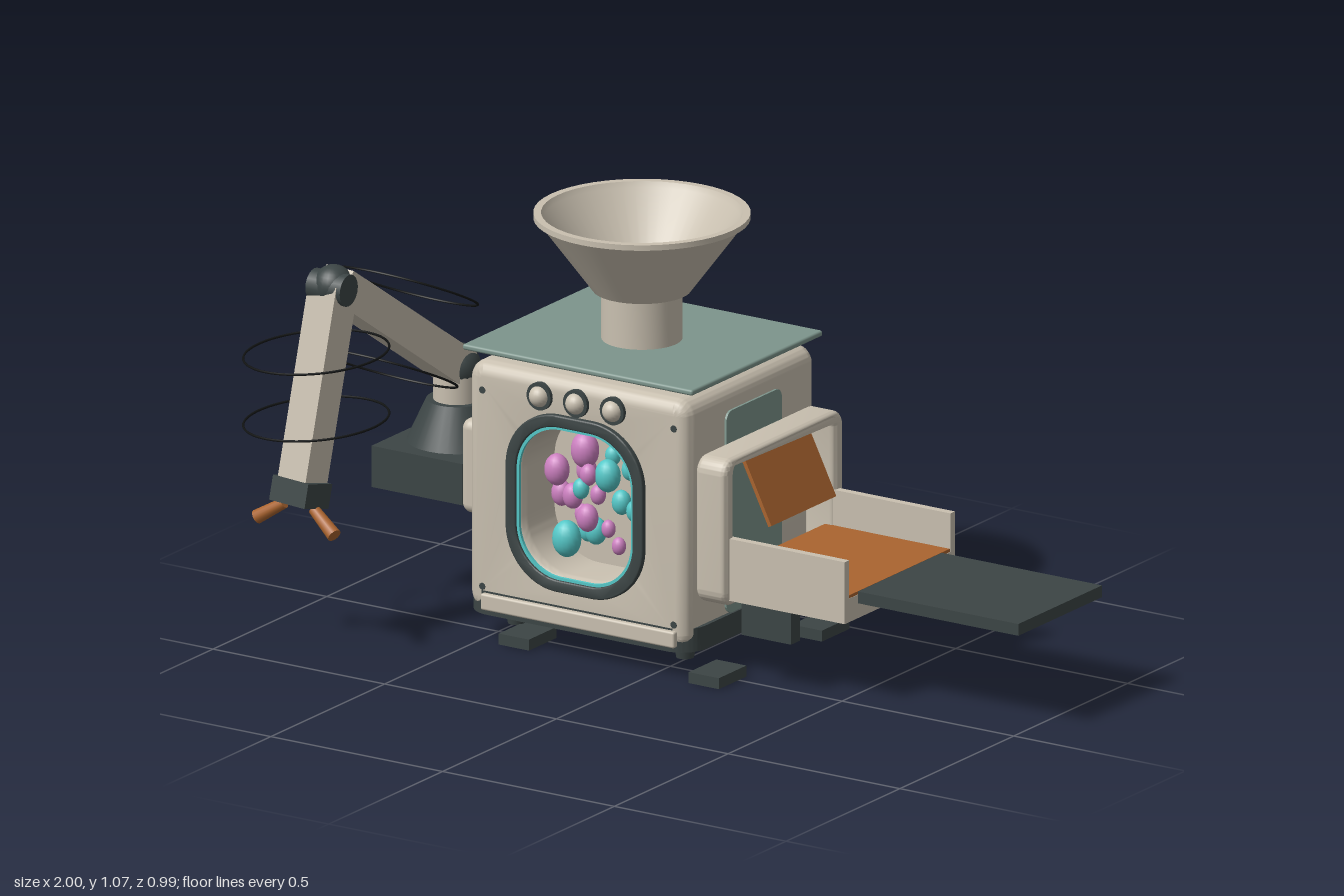
import * as THREE from 'three';
import { toCreasedNormals } from 'three/addons/utils/BufferGeometryUtils.js';
import { RoundedBoxGeometry } from 'three/addons/geometries/RoundedBoxGeometry.js';

const mat = (name, color, side = THREE.FrontSide) => {
  const m = new THREE.MeshStandardMaterial({ color, side });
  m.name = name;
  return m;
};
const V = (x, y, z) => new THREE.Vector3(x, y, z);

// Rounded rectangle outline centred on the origin
function outline(target, w, h, r) {
  const x = w / 2, y = h / 2;
  target.moveTo(-x + r, -y);
  target.lineTo(x - r, -y);
  target.absarc(x - r, -y + r, r, -Math.PI / 2, 0);
  target.lineTo(x, y - r);
  target.absarc(x - r, y - r, r, 0, Math.PI / 2);
  target.lineTo(-x + r, y);
  target.absarc(-x + r, y - r, r, Math.PI / 2, Math.PI);
  target.lineTo(-x, -y + r);
  target.absarc(-x + r, -y + r, r, Math.PI, Math.PI * 1.5);
  return target;
}

// Rounded slab in the xy plane, centred, with optional bevel and hole [w, h, r]
function slab(w, h, depth, r, bevel = 0, hole = null) {
  const shape = outline(new THREE.Shape(), w, h, r);
  if (hole) shape.holes.push(outline(new THREE.Path(), ...hole));
  const g = new THREE.ExtrudeGeometry(shape, {
    depth: depth - 2 * bevel, bevelEnabled: bevel > 0, bevelThickness: bevel,
    bevelSize: bevel, bevelOffset: -bevel, bevelSegments: 6, curveSegments: 10,
  });
  g.translate(0, 0, -(depth - 2 * bevel) / 2);
  return toCreasedNormals(g, 0.6);
}

export function createModel() {
  const root = new THREE.Group();
  root.name = 'sortingMachine';
  const beige = mat('beige', 0xc9c0b0, THREE.DoubleSide);
  const dark = mat('charcoal', 0x3c4545);
  const green = mat('sageGreen', 0x7d958c);
  const orange = mat('copper', 0xaa642f);
  const pink = mat('pink', 0xcc80c0);
  const cyan = mat('cyan', 0x55c8c8);
  const black = mat('black', 0x121414);

  const add = (name, geo, material, x = 0, y = 0, z = 0) => {
    const m = new THREE.Mesh(geo, material);
    m.name = name;
    m.position.set(x, y, z);
    root.add(m);
    return m;
  };
  // Box given by its min and max corners
  const box = (name, material, x0, x1, y0, y1, z0, z1) =>
    add(name, new THREE.BoxGeometry(x1 - x0, y1 - y0, z1 - z0), material,
      (x0 + x1) / 2, (y0 + y1) / 2, (z0 + z1) / 2);
  // Square beam between two points
  const beam = (name, material, a, b, w, h) => {
    const m = add(name, new THREE.BoxGeometry(w, h, a.distanceTo(b)), material);
    m.position.copy(a).lerp(b, 0.5);
    m.lookAt(b);
    return m;
  };
  // Round rod between two points
  const rod = (name, material, a, b, ra, rb) => {
    const m = add(name, new THREE.CylinderGeometry(rb, ra, a.distanceTo(b), 16), material);
    m.position.copy(a).lerp(b, 0.5);
    m.quaternion.setFromUnitVectors(V(0, 1, 0), b.clone().sub(a).normalize());
    return m;
  };

  const CX = -0.215, CZ = -0.2;

  // Housing with a window cavity in the front
  add('housing', slab(0.642, 0.635, 0.572, 0.045, 0.035, [0.33, 0.38, 0.13]), beige, CX, 0.393, CZ);
  add('housingBack', slab(0.41, 0.46, 0.01, 0.16), beige, CX, 0.393, -0.4815);
  add('cavityWall', slab(0.36, 0.41, 0.01, 0.14), beige, CX, 0.393, -0.07);
  add('windowRing', slab(0.4, 0.45, 0.018, 0.15, 0.004, [0.34, 0.39, 0.125]), dark, CX, 0.393, 0.091);
  add('windowTrim', slab(0.345, 0.395, 0.008, 0.127, 0, [0.326, 0.376, 0.12]), cyan, CX, 0.393, 0.09);

  // Base skirt, front bar and fasteners
  add('baseSkirt', slab(0.663, 0.582, 0.06, 0.07, 0, [0.6, 0.52, 0.05]), dark, CX, 0.1, -0.203)
    .rotation.x = -Math.PI / 2;
  add('frontBar', new RoundedBoxGeometry(0.565, 0.042, 0.018, 3, 0.006), beige, CX + 0.01, 0.105, 0.092);
  for (const x of [-0.49, 0.067]) for (const y of [0.14, 0.64]) for (const z of [0.081, -0.481])
    add('screw', new THREE.CylinderGeometry(0.009, 0.009, 0.012, 12), dark, x, y, z).rotation.x = Math.PI / 2;

  // Tapered legs and foot pads
  for (const z of [-0.017, -0.403]) for (const x of [-0.458, 0.032])
    add('leg', new THREE.CylinderGeometry(0.032, 0.022, 0.055, 16), dark, x, 0.053, z);
  for (const z of [0.026, -0.426]) for (const x of [-0.398, 0.155])
    add('footPad', new THREE.BoxGeometry(0.088, 0.028, 0.121), dark, x, 0.014, z);

  // Knobs over the window
  for (const x of [-0.32, -0.214, -0.107]) {
    add('knobCollar', new THREE.CylinderGeometry(0.035, 0.035, 0.014, 24), dark, x, 0.656, 0.089)
      .rotation.x = Math.PI / 2;
    add('knob', new THREE.SphereGeometry(0.027, 20, 14), beige, x, 0.656, 0.09);
  }

  // Beads in the cavity: [x, y, radius, depth]
  const beads = (name, material, list) => list.forEach(([x, y, r, z]) =>
    add(name, new THREE.SphereGeometry(r, 18, 12), material, x, y, z).scale.set(1, 1.25, 0.9));
  beads('pinkBead', pink, [
    [-0.235, 0.515, 0.036, 0.02], [-0.31, 0.455, 0.032, 0.03], [-0.31, 0.39, 0.026, 0.01],
    [-0.257, 0.4, 0.026, 0.04], [-0.208, 0.355, 0.028, 0.05], [-0.262, 0.34, 0.02, -0.01],
    [-0.16, 0.33, 0.018, 0.03], [-0.123, 0.295, 0.018, 0.04], [-0.257, 0.45, 0.026, -0.02],
    [-0.205, 0.465, 0.022, 0.05], [-0.21, 0.4, 0.02, 0]]);
  beads('cyanBead', cyan, [
    [-0.103, 0.488, 0.022, 0.02], [-0.162, 0.465, 0.033, 0.03], [-0.103, 0.377, 0.022, 0],
    [-0.288, 0.28, 0.037, 0.02], [-0.22, 0.43, 0.021, 0.06], [-0.203, 0.315, 0.028, 0.02],
    [-0.155, 0.385, 0.025, -0.02], [-0.247, 0.3, 0.022, -0.01], [-0.18, 0.5, 0.02, -0.02]]);

  // Lid and hopper
  add('lid', new RoundedBoxGeometry(0.67, 0.015, 0.575, 3, 0.006), green, CX, 0.739, -0.203);
  const profile = [[0, 0.745], [0.099, 0.745], [0.099, 0.868], [0.12, 0.87], [0.253, 1.05], [0.264, 1.052],
    [0.264, 1.066], [0.245, 1.066], [0.238, 1.052], [0.1, 0.885], [0, 0.885]]
    .map(p => new THREE.Vector2(...p));
  add('hopper', toCreasedNormals(new THREE.LatheGeometry(profile, 48), 0.5), beige, CX, 0, CZ);

  // Side panels
  for (const x of [0.108, -0.538])
    add('sidePanel', slab(0.243, 0.515, 0.008, 0.025), green, x, 0.388, CZ).rotation.y = Math.PI / 2;

  // Outlet frame and chute flap
  add('outletFrame', slab(0.524, 0.374, 0.09, 0.04, 0.016, [0.436, 0.33, 0.018]), beige, 0.153, 0.382, -0.205)
    .rotation.y = Math.PI / 2;
  beam('chuteFlap', orange, V(0.173, 0.54, -0.203), V(0.25, 0.384, -0.203), 0.285, 0.01);

  // Outlet tray and conveyor
  box('trayFloor', beige, 0.19, 0.533, 0.212, 0.272, -0.445, 0.02);
  box('trayBelt', orange, 0.17, 0.532, 0.272, 0.28, -0.425, 0.018);
  for (const z of [0.018, -0.446])
    box('trayWall', beige, 0.19, 0.533, 0.212, 0.37, z, z + 0.02);
  box('conveyor', dark, 0.533, 1, 0.25, 0.28, -0.388, -0.02);
  for (const z of [-0.02, -0.422])
    box('trayBracket', dark, 0.22, 0.365, 0.125, 0.213, z, z + 0.04);

  // Arm mount
  add('armFlange', new RoundedBoxGeometry(0.1, 0.24, 0.352, 4, 0.025), beige, -0.585, 0.39, -0.206);
  box('armBase', dark, -0.9, -0.635, 0.285, 0.39, -0.36, -0.045);
  add('armCone', new THREE.CylinderGeometry(0.075, 0.123, 0.105, 32), dark, -0.757, 0.442, -0.205);
  add('armPost', new THREE.CylinderGeometry(0.058, 0.058, 0.09, 28), beige, -0.757, 0.538, -0.205);

  // Articulated arm
  const shoulder = V(-0.757, 0.575, -0.205), elbow = V(-0.807, 0.9, 0.262), wrist = V(-0.823, 0.43, 0.373);
  const tip = V(-0.825, 0.37, 0.387);
  add('shoulderJoint', new THREE.SphereGeometry(0.06, 24, 16), dark).position.copy(shoulder);
  beam('upperArm', beige, shoulder, elbow, 0.085, 0.09);
  add('elbowJoint', new THREE.SphereGeometry(0.05, 24, 16), dark).position.copy(elbow);
  add('elbowCap', new THREE.CylinderGeometry(0.04, 0.04, 0.1, 20), dark, -0.807, 0.895, 0.27)
    .rotation.z = Math.PI / 2;
  beam('forearm', beige, elbow, wrist, 0.09, 0.082);
  beam('wrist', dark, wrist, tip, 0.115, 0.09);
  rod('gripperFinger', orange, V(-0.87, 0.365, 0.382), V(-0.945, 0.318, 0.39), 0.014, 0.018);
  rod('gripperFinger', orange, V(-0.78, 0.365, 0.388), V(-0.705, 0.318, 0.412), 0.014, 0.018);

  // Cable loops around the arm: [centre, plane normal]
  const loops = [
    [V(-0.82, 0.74, 0.318), V(-0.08, 1, 0.04)], [V(-0.82, 0.57, 0.318), V(-0.08, 1, 0.04)],
    [V(-0.78, 0.825, -0.02), V(0, 0.89, -0.455)], [V(-0.78, 0.64, 0.07), V(0, 0.89, -0.455)]];
  for (const [c, n] of loops) {
    const m = add('cableLoop', new THREE.TorusGeometry(0.178, 0.003, 6, 64), black);
    m.position.copy(c);
    m.quaternion.setFromUnitVectors(V(0, 0, 1), n.normalize());
  }
  return root;
}
